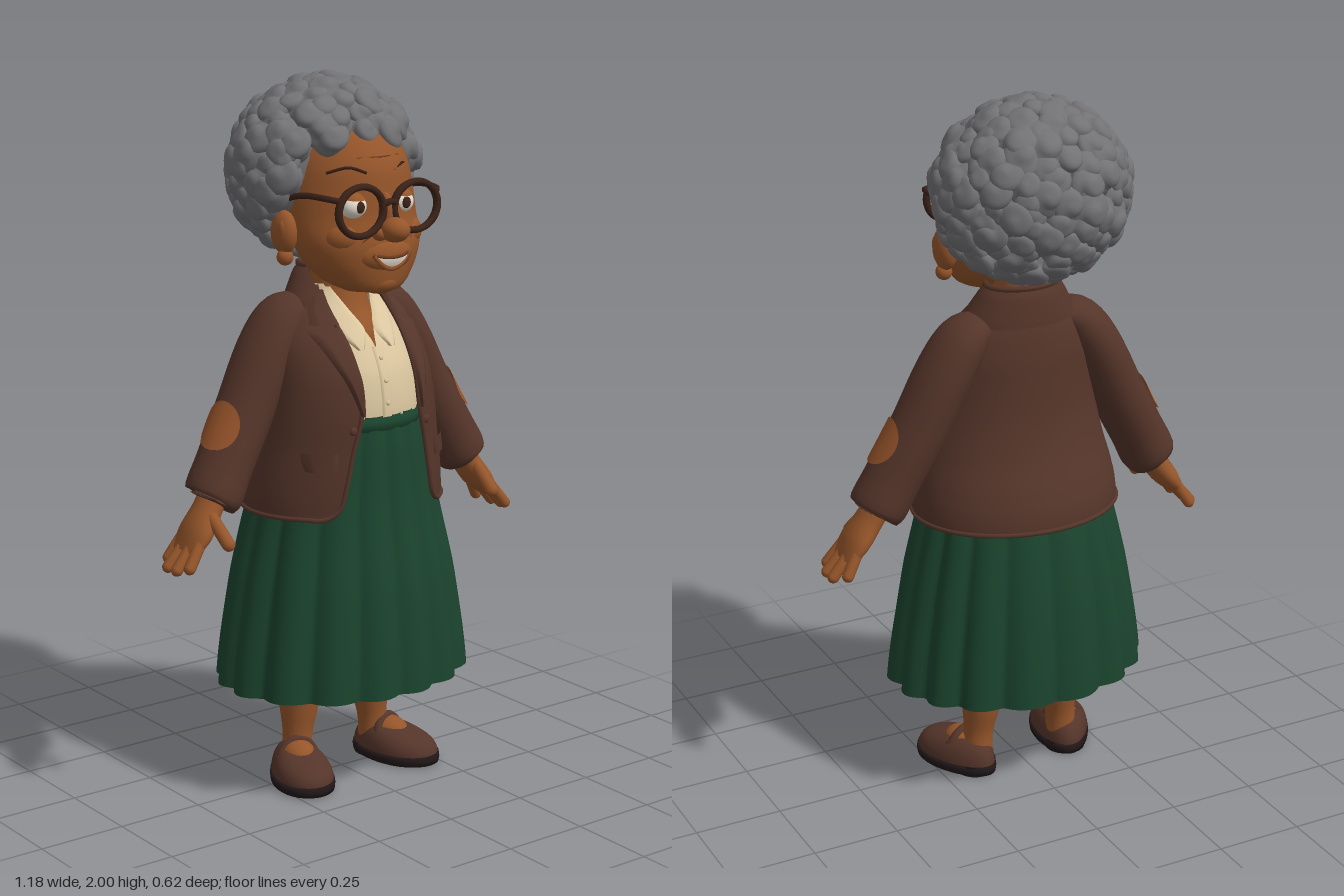
import * as THREE from 'three';
import { mergeVertices, mergeGeometries } from 'three/addons/utils/BufferGeometryUtils.js';

const mat = (name, color) => {
  const m = new THREE.MeshStandardMaterial({ color, side: THREE.DoubleSide });
  m.name = name;
  return m;
};
const V = (x, y, z) => new THREE.Vector3(x, y, z);
const lerp = THREE.MathUtils.lerp;
const TAU = Math.PI * 2;

// smooth lookup in rows sorted by their first value
function at(rows, k) {
  let i = 0;
  while (i < rows.length - 2 && k > rows[i + 1][0]) i++;
  const p = rows[Math.max(i - 1, 0)], a = rows[i], b = rows[i + 1], q = rows[Math.min(i + 2, rows.length - 1)];
  const t = THREE.MathUtils.clamp((k - a[0]) / (b[0] - a[0]), 0, 1);
  return a.map((v, j) => {
    const m0 = (b[j] - p[j]) / 2, m1 = (q[j] - v) / 2;
    return v + t * m0 + t * t * (3 * (b[j] - v) - 2 * m0 - m1) + t * t * t * (2 * (v - b[j]) + m0 + m1);
  });
}
// smooth surface from a rule fn(u, v)
function grid(nu, nv, fn) {
  const pos = [], idx = [];
  for (let j = 0; j <= nv; j++) for (let i = 0; i <= nu; i++) pos.push(...fn(i / nu, j / nv));
  for (let j = 0; j < nv; j++) for (let i = 0; i < nu; i++) {
    const a = j * (nu + 1) + i, c = a + nu + 1;
    idx.push(a, a + 1, c + 1, a, c + 1, c);
  }
  let g = new THREE.BufferGeometry();
  g.setAttribute('position', new THREE.Float32BufferAttribute(pos, 3));
  g.setIndex(idx);
  g = mergeVertices(g, 1e-5);
  g.computeVertexNormals();
  return g;
}
// body rows: [y, half width, front z, back z, half opening]
function ring(rows, y, a) {
  const [, rx, zf, zb] = at(rows, y);
  return [rx * Math.sin(a), y, (zf + zb) / 2 + (zf - zb) / 2 * Math.cos(a)];
}
function openAngle(rows, y) {
  const r = at(rows, y);
  return r[4] ? Math.asin(Math.min(1, r[4] / r[1])) : 0;
}
const loft = (rows, nu = 40, nv = 36) => grid(nu, nv, (u, v) => {
  const y = lerp(rows[0][0], rows[rows.length - 1][0], v), o = openAngle(rows, y);
  return ring(rows, y, lerp(o, TAU - o, u));
});
const frontZ = (rows, x, y) => {
  const rx = at(rows, y)[1];
  return ring(rows, y, Math.asin(THREE.MathUtils.clamp(x / rx, -0.98, 0.98)))[2];
};
// plate lying on a body: outline rows [y, inner x, outer x]
const plate = (body, outline, off) => grid(8, 16, (u, v) => {
  const [y, a, b] = at(outline, lerp(outline[0][0], outline[outline.length - 1][0], v));
  const x = lerp(a, b, u);
  return [x, y, frontZ(body, x, y) + off * (u === 0 || u === 1 ? 0.3 : 1)];
});
// limb rows: [index, x, y, z, radius in plane, radius in z]
const limbAt = (rows, t, a) => {
  const c = at(rows, t), p = at(rows, Math.max(0, t - 0.05)), q = at(rows, Math.min(rows.length - 1, t + 0.05));
  const d = V(q[1] - p[1], q[2] - p[2], 0).normalize();
  return [c[1] - d.y * c[4] * Math.cos(a), c[2] + d.x * c[4] * Math.cos(a), c[3] + c[5] * Math.sin(a)];
};
const index = rows => rows.map((r, i) => [i, ...r]);
const limb = rows => grid(24, 30, (u, v) => limbAt(rows, v * (rows.length - 1), u * TAU));
const wire = (pts, r, n = 24) => new THREE.TubeGeometry(new THREE.CatmullRomCurve3(pts), n, r, 6);
const ball = (x, y, z, rx, ry = rx, rz = rx) => new THREE.SphereGeometry(1, 24, 16).scale(rx, ry, rz).translate(x, y, z);
const finger = (a, b, r) => new THREE.CapsuleGeometry(r, a.distanceTo(b), 4, 10)
  .applyQuaternion(new THREE.Quaternion().setFromUnitVectors(V(0, 1, 0), b.clone().sub(a).normalize()))
  .translate(...a.clone().add(b).multiplyScalar(0.5).toArray());

const HEAD = [[1.418, 0.001, 0.16, 0.155], [1.427, 0.075, 0.2, 0.07], [1.45, 0.12, 0.212, 0], [1.5, 0.162, 0.22, -0.06],
  [1.56, 0.186, 0.222, -0.1], [1.63, 0.191, 0.205, -0.15], [1.7, 0.187, 0.198, -0.18], [1.77, 0.177, 0.185, -0.2],
  [1.84, 0.155, 0.14, -0.2], [1.9, 0.1, 0.07, -0.15], [1.93, 0.001, -0.05, -0.055]];
const NECK = [[1.2, 0.1, 0.12, -0.1], [1.3, 0.09, 0.115, -0.1], [1.36, 0.085, 0.075, -0.1], [1.42, 0.075, 0.055, -0.1], [1.52, 0.07, 0.05, -0.1]];
const BLOUSE = [[1, 0.2, 0.2, -0.13, 0.001], [1.1, 0.2, 0.205, -0.13, 0.001], [1.2, 0.19, 0.188, -0.13, 0.001],
  [1.28, 0.17, 0.148, -0.125, 0.004], [1.35, 0.145, 0.095, -0.12, 0.035], [1.4, 0.11, 0.06, -0.11, 0.06], [1.43, 0.09, 0.05, -0.1, 0.075]];
const JACKET = [[0.815, 0.3, 0.245, -0.245, 0.195], [0.84, 0.3, 0.245, -0.243, 0.162], [0.9, 0.293, 0.245, -0.228, 0.145],
  [1, 0.272, 0.242, -0.19, 0.124], [1.1, 0.255, 0.24, -0.165, 0.1], [1.2, 0.24, 0.222, -0.155, 0.096],
  [1.28, 0.225, 0.175, -0.15, 0.1], [1.35, 0.19, 0.115, -0.14, 0.105], [1.4, 0.145, 0.07, -0.128, 0.1], [1.43, 0.118, 0.055, -0.118, 0.095]];
const COLLAR = [[1.375, 0.168, 0.095, -0.14, 0.125], [1.42, 0.145, 0.07, -0.135, 0.11], [1.46, 0.122, 0.045, -0.128, 0.108], [1.485, 0.102, 0.03, -0.115, 0.1]];
const SKIRT = [[0.305, 0.38, 0.309, -0.305], [0.6, 0.336, 0.285, -0.281], [0.83, 0.282, 0.246, -0.238], [1, 0.23, 0.228, -0.17], [1.085, 0.195, 0.214, -0.13]];
const SLEEVE = index([[0.12, 1.37, -0.04, 0.04, 0.06], [0.175, 1.34, -0.04, 0.066, 0.085], [0.235, 1.25, -0.037, 0.075, 0.095],
  [0.31, 1.1, -0.03, 0.078, 0.09], [0.385, 0.965, -0.018, 0.078, 0.086], [0.434, 0.875, -0.01, 0.076, 0.085], [0.43, 0.885, -0.01, 0.03, 0.04]]);
const PALM = index([[0.42, 0.9, -0.01, 0.038, 0.045], [0.455, 0.845, -0.005, 0.037, 0.05], [0.495, 0.79, 0, 0.033, 0.066], [0.532, 0.742, 0, 0.016, 0.058]]);
const LEG = index([[0.122, 0.42, -0.035, 0.07, 0.072], [0.124, 0.3, -0.035, 0.067, 0.068], [0.128, 0.2, -0.035, 0.055, 0.056],
  [0.135, 0.12, -0.032, 0.043, 0.044], [0.14, 0.04, -0.03, 0.046, 0.048]]);

// pleated cloth scallops round the skirt, deeper towards the hem
const pleat = (y, a) => {
  const [x, , z] = ring(SKIRT, y, a);
  const s = 0.965 + lerp(0.075, 0.04, (y - 0.305) / 0.78) * (Math.abs(Math.sin(a * 8 + 0.4 + 0.35 * Math.sin(3 * a))) - 0.35);
  return [x * s, y, z * s];
};

// one curl with a spiral groove, pole outwards
function curlGeometry() {
  let g = new THREE.SphereGeometry(1, 18, 14);
  const p = g.attributes.position, v = V();
  for (let i = 0; i < p.count; i++) {
    v.fromBufferAttribute(p, i);
    const th = Math.acos(THREE.MathUtils.clamp(v.y, -1, 1)), ph = Math.atan2(v.z, v.x);
    v.multiplyScalar(1 + 0.13 * Math.sin(th) * Math.cos(ph + 5 * th));
    p.setXYZ(i, v.x, v.y * 0.8, v.z);
  }
  g.deleteAttribute('uv'); g.deleteAttribute('normal');
  g = mergeVertices(g, 1e-4);
  g.computeVertexNormals();
  return g;
}
function hairCurls() {
  let seed = 7;
  const rnd = () => (seed = (seed * 16807) % 2147483647) / 2147483647;
  const line = [[1.45, -0.08], [1.52, -0.06], [1.62, -0.02], [1.72, 0.04], [1.83, 0.095], [1.865, 0.3], [2, 0.3]];
  const base = curlGeometry(), list = [], n = 225;
  for (let i = 0; i < n; i++) {
    const h = 1 - 2 * (i + 0.5) / n, r = Math.sqrt(1 - h * h), a = i * 2.39996 + rnd() * 0.25;
    const d = V(r * Math.cos(a), h, r * Math.sin(a)), s = 0.04 + rnd() * 0.016, k = 0.99 + rnd() * 0.03;
    const c = V(-0.017 + d.x * 0.244 * k, 1.738 + d.y * 0.221 * k, -0.065 + d.z * 0.206 * k);
    if (c.z > at(line, c.y)[1]) continue;
    const q = new THREE.Quaternion().setFromUnitVectors(V(0, 1, 0), d)
      .multiply(new THREE.Quaternion().setFromAxisAngle(V(0, 1, 0), rnd() * TAU));
    list.push(base.clone().applyMatrix4(new THREE.Matrix4().compose(c, q, V(s, s, s))));
  }
  return mergeGeometries(list);
}

export function createModel() {
  const skin = mat('skin', 0x95552a), crease = mat('lips and creases', 0x6e3a1e), hair = mat('grey hair', 0x727275);
  const brown = mat('brown wool', 0x55352a), green = mat('green cloth', 0x1b442e), cream = mat('cream cotton', 0xdcc7a0);
  const dark = mat('dark brown', 0x3b2218), tan = mat('tan suede', 0x96532a), white = mat('white', 0xe9e0d2), sole = mat('sole', 0x211719);
  const model = new THREE.Group();
  model.name = 'grandmother';
  let target = model;
  const add = (name, geo, m) => {
    const mesh = new THREE.Mesh(geo, m);
    mesh.name = name;
    target.add(mesh);
  };
  // mirrored pair about x = shift
  const pair = (name, build, shift = 0) => [1, -1].forEach(s => {
    const g = new THREE.Group();
    g.name = (s > 0 ? 'left ' : 'right ') + name;
    g.scale.x = s;
    g.position.x = shift;
    model.add(g);
    target = g;
    build();
    target = model;
  });
  const muzzle = (x, y) => 0.17 + 0.065 * Math.sqrt(Math.max(0, 1 - (x / 0.1) ** 2 - ((y - 1.53) / 0.06) ** 2));
  const smile = (dy, off, w) => [-1, -0.5, 0, 0.5, 1].map(k => {
    const y = 1.513 + 0.022 * k * k + dy * (1 - k * k);
    return V(k * w, y, muzzle(k * w, y) + off);
  });

  // head and face
  add('head', loft(HEAD, 48, 44), skin);
  add('neck', loft(NECK), skin);
  add('muzzle', ball(0, 1.53, 0.17, 0.1, 0.06, 0.065), skin);
  add('chin', ball(0, 1.455, 0.17, 0.06, 0.037, 0.045), skin);
  add('nose tip', ball(-0.004, 1.602, 0.242, 0.04, 0.034, 0.044), skin);
  add('nose bridge', ball(-0.006, 1.645, 0.2, 0.022, 0.055, 0.028), skin);
  add('teeth', grid(16, 3, (u, v) => {
    const k = u * 2 - 1, x = k * 0.056, y = 1.513 + 0.022 * k * k + lerp(-0.012, 0.01, v) * (1 - k * k);
    return [x, y, muzzle(x, y) + 0.003];
  }), white);
  add('upper lip', wire(smile(0.013, 0, 0.062), 0.005), crease);
  add('lower lip', wire(smile(-0.018, 0, 0.06), 0.008), skin);
  add('forehead crease', wire([-0.07, 0, 0.07].map(x => V(x, 1.79, frontZ(HEAD, x, 1.79))), 0.002), crease);
  add('hair mass', ball(-0.015, 1.738, -0.08, 0.244, 0.218, 0.19), hair);
  add('hair curls', hairCurls(), hair);
  add('glasses bridge', wire([V(-0.034, 1.668, 0.224), V(-0.01, 1.678, 0.232), V(0.014, 1.668, 0.224)], 0.009), dark);
  pair('eye and lens', () => {
    add('eye', ball(0.08, 1.664, 0.17, 0.038, 0.033, 0.034), white);
    add('iris', ball(0.078, 1.664, 0.2, 0.014, 0.016, 0.007), dark);
    add('eyelid', new THREE.SphereGeometry(0.04, 20, 8, 0, TAU, 0, 0.95).rotateX(0.15).translate(0.08, 1.663, 0.168), skin);
    add('eyebrow', wire([0.045, 0.09, 0.135].map((x, i) => V(x, [1.752, 1.767, 1.752][i], frontZ(HEAD, x, 1.76) + 0.001)), 0.004), dark);
    add('glasses rim', new THREE.TorusGeometry(0.066, 0.0095, 8, 32).scale(1.13, 1, 1.2).translate(0.092, 1.657, 0.222), dark);
    add('glasses temple', wire([V(0.162, 1.69, 0.222), V(0.182, 1.695, 0.2), V(0.196, 1.695, 0.1), V(0.2, 1.67, 0)], 0.0085), dark);
  }, -0.01);
  pair('face side', () => {
    add('cheek', ball(0.092, 1.578, 0.13, 0.068, 0.052, 0.066), skin);
    add('nostril', ball(0.036, 1.592, 0.218, 0.022, 0.02, 0.024), skin);
    add('smile line', wire([V(0.045, 1.595, 0.213), V(0.085, 1.565, 0.2), V(0.097, 1.525, 0.184)], 0.0025), crease);
    add('ear', ball(0.203, 1.585, 0.012, 0.032, 0.06, 0.045), skin);
    add('ear fold', ball(0.222, 1.593, 0.024, 0.011, 0.03, 0.02), skin);
    add('earring', ball(0.205, 1.518, 0.018, 0.023), tan);
  });

  // blouse and skirt
  add('blouse', loft(BLOUSE), cream);
  add('blouse placket', plate(BLOUSE, [[1.08, -0.015, 0.018], [1.18, -0.015, 0.018], [1.27, -0.015, 0.018]], 0.006), cream);
  [1.12, 1.18, 1.24].forEach(y => add('blouse button', ball(0.002, y, frontZ(BLOUSE, 0, y) + 0.006, 0.007, 0.007, 0.004), cream));
  add('skirt', grid(216, 20, (u, v) => pleat(lerp(0.305, 1.085, v), u * TAU)), green);
  add('skirt lining', grid(96, 1, (u, v) => pleat(0.315, u * TAU).map((c, i) => i === 1 ? c : c * v * 0.98)), green);
  add('waistband', grid(60, 6, (u, v) => {
    const [x, , z] = ring(SKIRT, 1.065, u * TAU), s = 0.995 + 0.03 * Math.sin(v * Math.PI);
    return [x * s, lerp(1.045, 1.083, v), z * s];
  }), green);

  // jacket with rolled edge, lapels and collar
  add('jacket body', loft(JACKET, 56, 36), brown);
  const edge = [], ys = [1.4, 1.3, 1.2, 1.1, 1, 0.9, 0.84];
  const rim = (y, s) => V(...ring(JACKET, y, s * openAngle(JACKET, y)));
  ys.forEach(y => edge.push(rim(y, 1)));
  const o = openAngle(JACKET, 0.815);
  for (let i = 0; i <= 24; i++) edge.push(V(...ring(JACKET, 0.815, lerp(o, TAU - o, i / 24))));
  ys.reverse().forEach(y => edge.push(rim(y, -1)));
  add('jacket edge', wire(edge, 0.007, 140), brown);
  add('jacket collar', loft(COLLAR, 40, 10), brown);
  add('collar roll', wire([...Array(21)].map((_, i) => V(...ring(COLLAR, 1.48, lerp(1.3, TAU - 1.3, i / 20)))), 0.009, 60), brown);
  pair('jacket front', () => {
    add('lapel', plate(JACKET, [[1.1, 0.099, 0.104], [1.18, 0.093, 0.13], [1.27, 0.093, 0.163], [1.325, 0.096, 0.177], [1.33, 0.098, 0.14]], 0.018), brown);
    add('upper collar', plate(JACKET, [[1.335, 0.096, 0.165], [1.37, 0.098, 0.15], [1.42, 0.094, 0.115]], 0.02), brown);
    add('pocket flap', plate(JACKET, [[0.95, 0.17, 0.235], [0.975, 0.165, 0.24], [1.0, 0.165, 0.24]], 0.016), brown);
    add('jacket button', ball(0.125, 1.06, frontZ(JACKET, 0.125, 1.06) + 0.004, 0.012, 0.012, 0.006), brown);
    add('blouse collar', plate(BLOUSE, [[1.265, 0.045, 0.06], [1.31, 0.016, 0.095], [1.36, 0.036, 0.11], [1.425, 0.066, 0.09]], 0.014), cream);
  });

  // arms
  pair('arm', () => {
    add('sleeve', limb(SLEEVE), brown);
    add('elbow patch', grid(28, 6, (u, v) => {
      const r = 1 - v, t = 3.46 + 0.45 * r * Math.cos(u * TAU), a = 0.17 + 0.8 * r * Math.sin(u * TAU);
      const p = limbAt(SLEEVE, t, a);
      return [p[0] + 0.005 * Math.cos(a), p[1] + 0.003, p[2] + 0.005 * Math.sin(a)];
    }), tan);
    add('palm', limb(PALM), skin);
    [[-0.05, 0.545, 0.715], [-0.017, 0.572, 0.702], [0.019, 0.572, 0.702], [0.05, 0.555, 0.712]].forEach(([z, x, y]) =>
      add('finger', finger(V(0.508, 0.775, z * 0.9), V(x, y, z * 1.2), 0.0165), skin));
    add('thumb', finger(V(0.465, 0.835, 0.035), V(0.462, 0.775, 0.11), 0.0185), skin);
  });

  // legs and strapped shoes, toes turned out
  pair('leg', () => {
    add('shin', limb(LEG), skin);
    const foot = new THREE.Group();
    foot.name = 'foot';
    foot.position.set(0.15, 0, -0.035);
    foot.rotation.y = 0.3;
    target.add(foot);
    target = foot;
    const outline = (a, s) => [0.082 * s * Math.sin(a) * (1 + 0.16 * Math.cos(a)), 0.07 + 0.138 * s * Math.cos(a)];
    add('shoe upper', grid(36, 10, (u, v) => {
      const t = v * Math.PI / 2, [x, z] = outline(u * TAU, Math.cos(t) ** 0.6);
      return [x, 0.028 + lerp(0.084, 0.058, THREE.MathUtils.smoothstep(z, -0.02, 0.16)) * Math.sin(t), z];
    }), brown);
    add('shoe sole', grid(36, 4, (u, v) => {
      const [x, z] = outline(u * TAU, [0, 1.02, 1.04, 1.02, 0][Math.round(v * 4)]);
      return [x, [0.004, 0.004, 0.018, 0.032, 0.032][Math.round(v * 4)], z];
    }), sole);
    add('shoe heel', new THREE.CylinderGeometry(0.06, 0.058, 0.032, 20).translate(0, 0.016, -0.004), sole);
    add('instep', ball(0, 0.076, 0.045, 0.05, 0.043, 0.065), skin);
    add('shoe strap', new THREE.TorusGeometry(0.056, 0.011, 8, 20, Math.PI).scale(1, 1.15, 1.2).rotateX(-0.15).translate(0, 0.053, 0.048), brown);
    add('strap button', ball(0.055, 0.08, 0.052, 0.008), dark);
  });
  return model;
}
